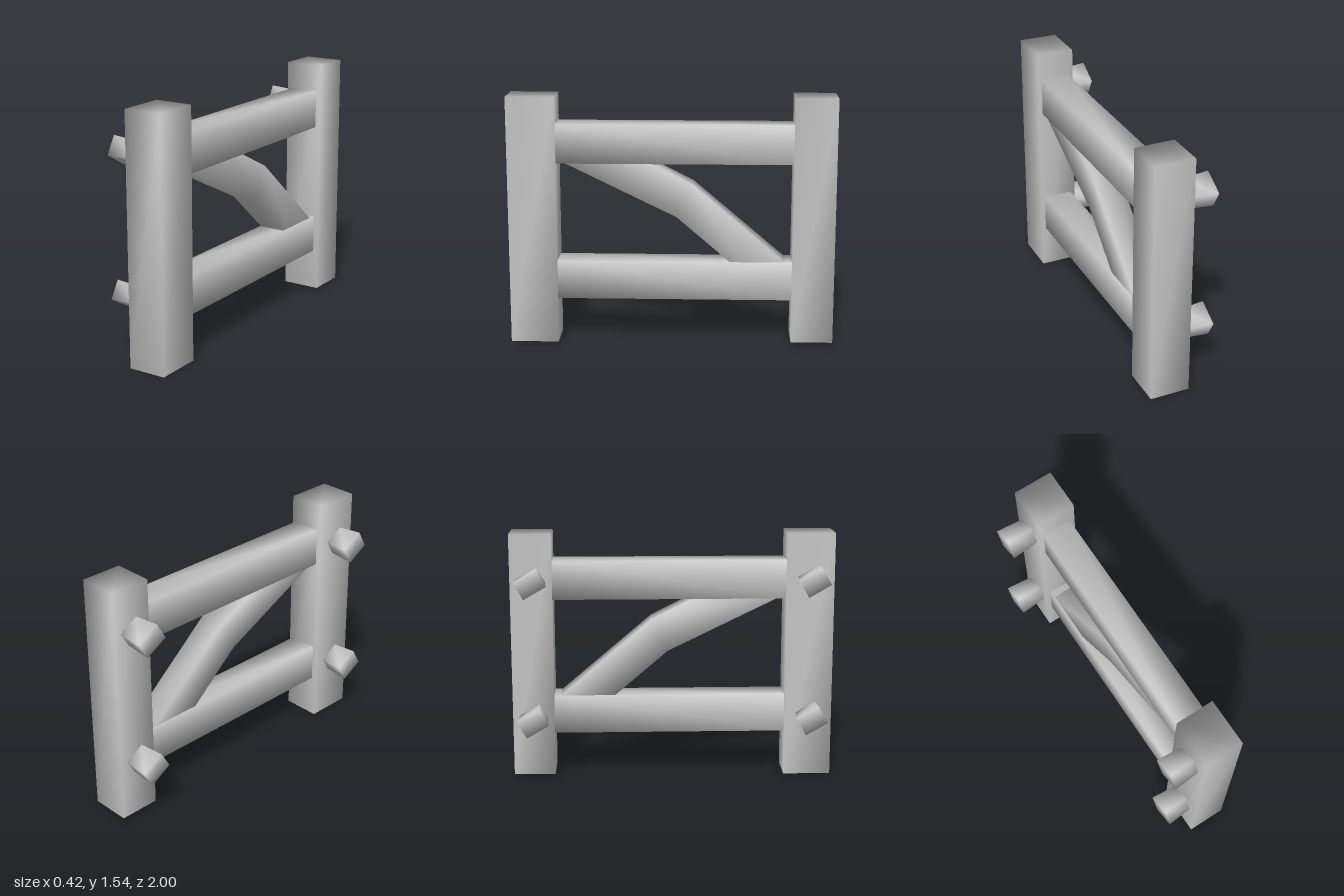
import * as THREE from 'three';

const material = new THREE.MeshStandardMaterial({ color: 0xcccccc });

// Four-sided beam through a list of sections; corners are shared so shading is soft.
// Corners run counter-clockwise about the direction of travel.
function beam(name, sections) {
  const index = [];
  const quad = (a, b, c, d) => index.push(a, b, c, a, c, d);
  for (let i = 0; i < sections.length - 1; i++) {
    for (let j = 0; j < 4; j++) {
      const k = (j + 1) % 4, lo = i * 4, hi = lo + 4;
      quad(lo + j, lo + k, hi + k, hi + j);
    }
  }
  const e = (sections.length - 1) * 4;
  quad(3, 2, 1, 0);
  quad(e, e + 1, e + 2, e + 3);
  const geometry = new THREE.BufferGeometry();
  geometry.setAttribute('position', new THREE.Float32BufferAttribute(sections.flat(2), 3));
  geometry.setIndex(index);
  geometry.computeVertexNormals();
  const mesh = new THREE.Mesh(geometry, material);
  mesh.name = name;
  return mesh;
}

// Upright post
function post(name, x0, x1, z0, z1, y0, y1) {
  return beam(name, [y0, y1].map((y) => [[x0, y, z0], [x0, y, z1], [x1, y, z1], [x1, y, z0]]));
}

// Horizontal rail between the posts
function rail(name, y0, y1) {
  return beam(name, [-0.745, 0.715].map((z) => [[-0.01, y0, z], [0.175, y0, z], [0.175, y1, z], [-0.01, y1, z]]));
}

// Tilted peg that flares away from the post
function peg(name, tip, y, z) {
  const tilt = Math.PI / 6, c = Math.cos(tilt), s = Math.sin(tilt);
  const ring = (x, scale) => [[-1, -1], [1, -1], [1, 1], [-1, 1]].map(([a, b]) => {
    const u = a * 0.079 * scale, v = b * 0.061 * scale;
    return [x, y + u * s + v * c, z + u * c - v * s];
  });
  return beam(name, [ring(-0.035, 0.86), ring(tip, 1)]);
}

export function createModel() {
  const group = new THREE.Group();
  group.name = 'fence';

  group.add(post('frontPost', -0.04, 0.2, 0.705, 1, 0, 1.54));
  group.add(post('backPost', -0.04, 0.208, -1, -0.742, 0.015, 1.54));
  group.add(rail('upperRail', 1.13, 1.37));
  group.add(rail('lowerRail', 0.277, 0.517));

  // Bent diagonal brace: [lower z, lower y, upper z, upper y] at each section
  const bends = [
    [0.71, 1.16, 0.35, 1.24],
    [-0.03, 0.8, -0.13, 1.0],
    [-0.45, 0.44, -0.73, 0.49],
  ];
  group.add(beam('brace', bends.map(([z0, y0, z1, y1]) => [
    [0, y0, z0], [0, y1, z1], [0.168, y1, z1], [0.168, y0, z0],
  ])));

  // Pegs on the outer side of each post
  for (const [height, y] of [['upper', 1.26], ['lower', 0.393]]) {
    group.add(peg(height + 'FrontPeg', -0.2, y, 0.86));
    group.add(peg(height + 'BackPeg', -0.21, y, -0.867));
  }
  return group;
}
